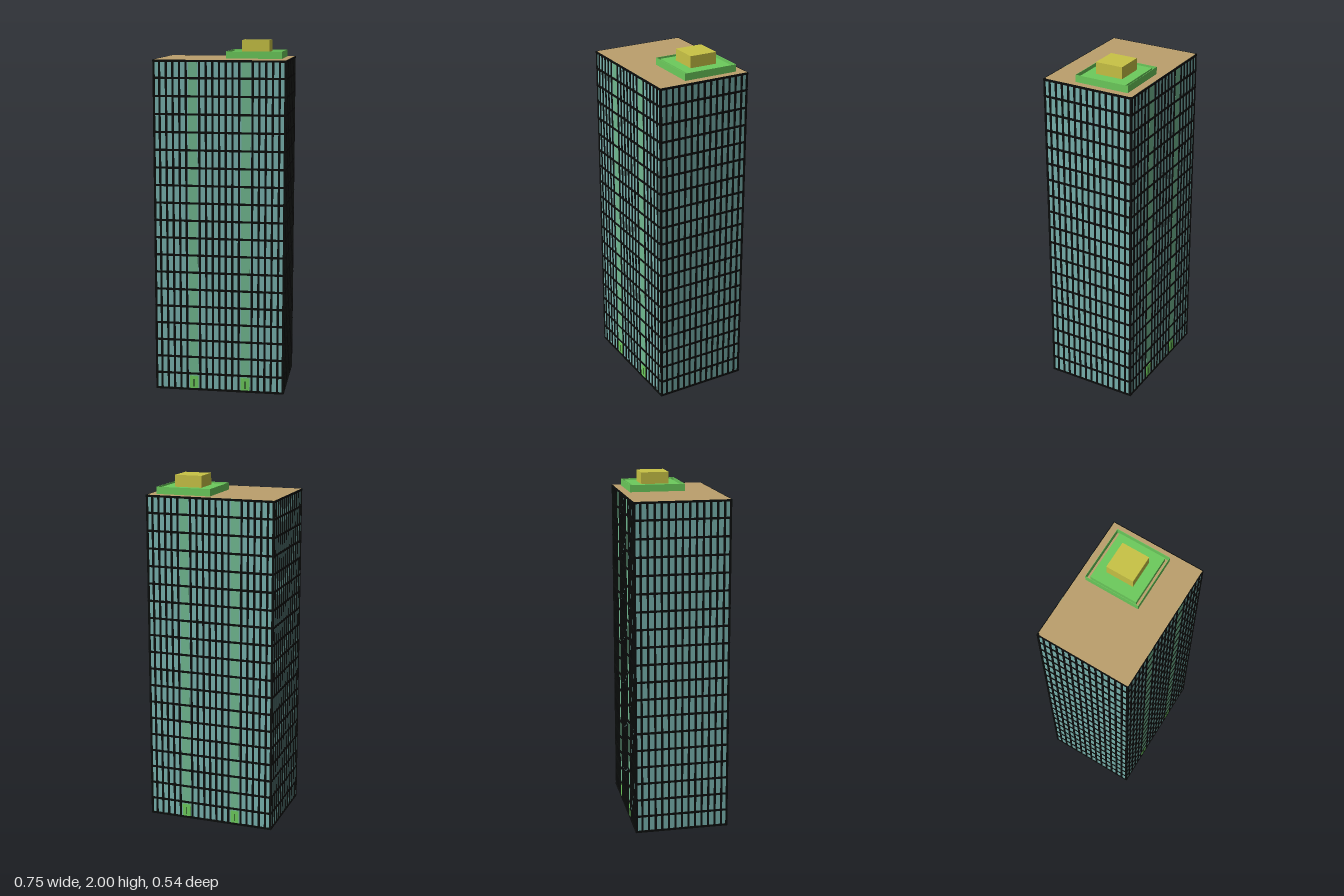
import * as THREE from 'three';

const W = 0.744, D = 0.54, H = 1.9;      // outer size of the tower
const FLOORS = 19, LIP = 0.004, BAR = 0.012;

const paint = (color) => new THREE.MeshStandardMaterial({ color });
const glass = paint(0x78b2ae), frame = paint(0x0b0d0c), tan = paint(0xbca06c);
const green = paint(0x6ccb5c), tint = paint(0x70b890), yellow = paint(0xc9c345);
const lawn = paint(0x3f8a38);

function box(parent, name, mat, w, h, d, x, y, z) {
  const mesh = new THREE.Mesh(new THREE.BoxGeometry(w, h, d), mat);
  mesh.name = name;
  mesh.position.set(x, y, z);
  parent.add(mesh);
  return mesh;
}

// One wall in its own frame: outward is +z, centred on x
function facade(name, width, columns, entrances) {
  const wall = new THREE.Group();
  wall.name = name;
  const step = width / columns;
  for (let i = 1; i < columns; i++) {
    const x = -width / 2 + i * step;
    if (entrances.includes(i)) {
      // wide tinted bay with a door at its foot
      box(wall, 'tintedBay', tint, 0.05, H, 0.002, x, H / 2, -LIP);
      box(wall, 'door', green, 0.05, 0.085, 0.003, x, 0.043, -LIP + 0.0005);
      box(wall, 'doorHandle', frame, 0.004, 0.045, 0.003, x, 0.045, -LIP + 0.002);
    } else {
      box(wall, 'mullion', frame, BAR, H - 0.002, 2 * LIP, x, H / 2, -LIP);
    }
  }
  return wall;
}

export function createModel() {
  const model = new THREE.Group();
  model.name = 'officeTower';

  // Glazed core, base slab and roof
  box(model, 'glassCore', glass, W - 2 * LIP, H - 0.012, D - 2 * LIP, 0, H / 2, 0);
  box(model, 'baseSlab', lawn, W - 2 * LIP, 0.006, D - 2 * LIP, 0, 0.003, 0);
  box(model, 'roof', tan, W - 2 * LIP, 0.006, D - 2 * LIP, 0, H - 0.003, 0);

  // Vertical bars on all four walls
  for (const side of [0, 1, 2, 3]) {
    const wide = side % 2 === 0;
    const wall = facade(['frontWall', 'leftWall', 'backWall', 'rightWall'][side],
      wide ? W : D, wide ? 20 : 14, wide ? [6, 14] : []);
    const angle = side * Math.PI / 2, reach = (wide ? D : W) / 2;
    wall.rotation.y = angle;
    wall.position.set(Math.sin(angle) * reach, 0, Math.cos(angle) * reach);
    model.add(wall);
  }
  for (const sx of [-1, 1]) for (const sz of [-1, 1]) {
    box(model, 'cornerPost', frame, BAR, H, BAR, sx * (W - BAR) / 2, H / 2, sz * (D - BAR) / 2);
  }

  // Floor bands, as four bars around each storey line
  for (let i = 0; i <= FLOORS; i++) {
    const y = THREE.MathUtils.clamp(i * H / FLOORS, BAR / 2, H - BAR / 2);
    for (const s of [-1, 1]) {
      box(model, 'floorBand', frame, W, BAR, LIP + 0.001, 0, y, s * (D - LIP) / 2);
      box(model, 'floorBand', frame, LIP + 0.001, BAR, D, s * (W - LIP) / 2, y, 0);
    }
  }

  // Rooftop terrace: thin rail, raised deck and plant room
  const cx = 0.17, cz = -0.0635, size = 0.314;
  for (const s of [-1, 1]) {
    box(model, 'terraceRail', green, size, 0.04, 0.002, cx, H + 0.02, cz + s * size / 2);
    box(model, 'terraceRail', green, 0.002, 0.04, size, cx + s * size / 2, H + 0.02, cz);
  }
  box(model, 'terraceDeck', green, 0.288, 0.034, 0.273, cx + 0.001, H + 0.017, cz);
  box(model, 'plantRoom', yellow, 0.157, 0.07, 0.158, cx, H + 0.065, cz);

  return model;
}
